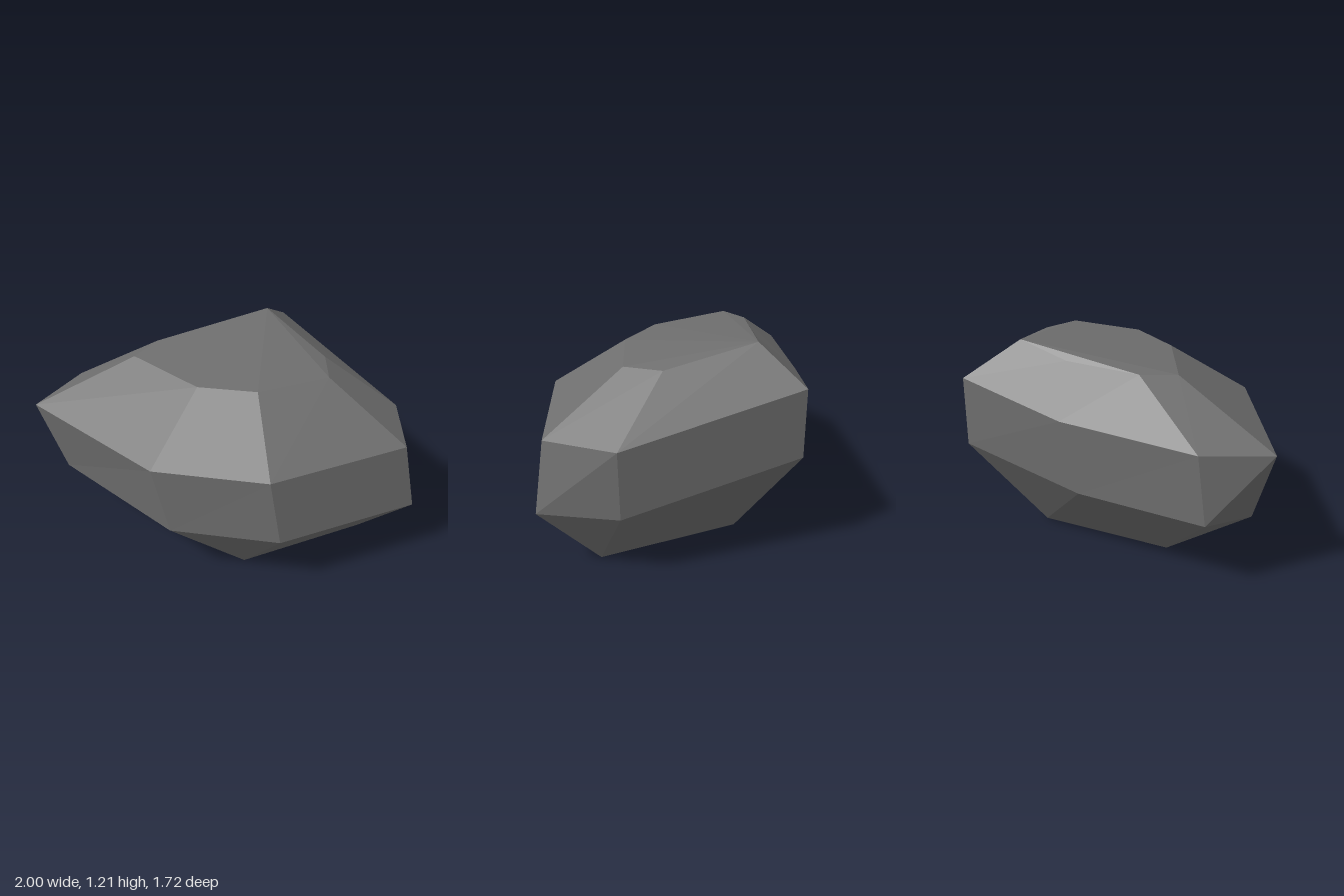
import * as THREE from 'three';

// Cross-sections from the ground up; each loop runs clockwise seen from above,
// starting at the back right corner of the rock's -x side.
const base = [[-0.24, 0, -0.45], [0.63, 0, -0.47], [0.35, 0, 0.29], [-0.52, 0, 0.31]];
const lower = [
  [-0.44, 0.61, -0.86], [0.61, 0.4, -0.76], [1, 0.385, -0.49], [0.68, 0.385, 0.33],
  [0.16, 0.385, 0.71], [-0.77, 0.39, 0.77], [-1, 0.455, 0.51], [-0.75, 0.48, -0.18],
];
const upper = [
  [-0.44, 1.02, -0.86], [0.62, 0.8, -0.76], [0.93, 0.795, -0.45], [0.62, 0.795, 0.36],
  [0.08, 0.8, 0.76], [-0.9, 0.83, 0.86], [-0.98, 0.855, 0.46], [-0.72, 0.9, -0.28],
];
const crown = [
  [-0.3, 1.21, -0.55], [0.25, 1.1, -0.49], [0.42, 1.095, -0.33], [0.25, 1.1, 0.09],
  [-0.03, 1.1, 0.3], [-0.54, 1.115, 0.35], [-0.58, 1.125, 0.14], [-0.44, 1.14, -0.27],
];

function rockGeometry() {
  const positions = [];
  const triangle = (a, b, c) => {
    if (a !== b && b !== c && a !== c) positions.push(...a, ...b, ...c);
  };
  // Each ground corner serves two neighbouring corners of the loop above
  const foot = [0, 1, 1, 2, 2, 3, 3, 0].map((i) => base[i]);
  const rings = [foot, lower, upper, crown];

  // Side facets
  for (let r = 0; r < rings.length - 1; r++) {
    for (let i = 0; i < 8; i++) {
      const j = (i + 1) % 8;
      const [low, high] = [rings[r], rings[r + 1]];
      triangle(low[i], high[i], low[j]);
      triangle(high[i], high[j], low[j]);
    }
  }
  // Sloping top, fanned from the peak
  for (let i = 1; i < 7; i++) triangle(crown[0], crown[i + 1], crown[i]);
  // Flat underside
  for (let i = 1; i < 3; i++) triangle(base[0], base[i], base[i + 1]);

  const geometry = new THREE.BufferGeometry();
  geometry.setAttribute('position', new THREE.Float32BufferAttribute(positions, 3));
  geometry.computeVertexNormals();
  return geometry;
}

export function createModel() {
  const stone = new THREE.MeshStandardMaterial({ color: 0x6e6e6e, flatShading: true });
  stone.name = 'stone grey';
  const rock = new THREE.Mesh(rockGeometry(), stone);
  rock.name = 'rock';
  const group = new THREE.Group();
  group.name = 'boulder';
  group.add(rock);
  return group;
}
